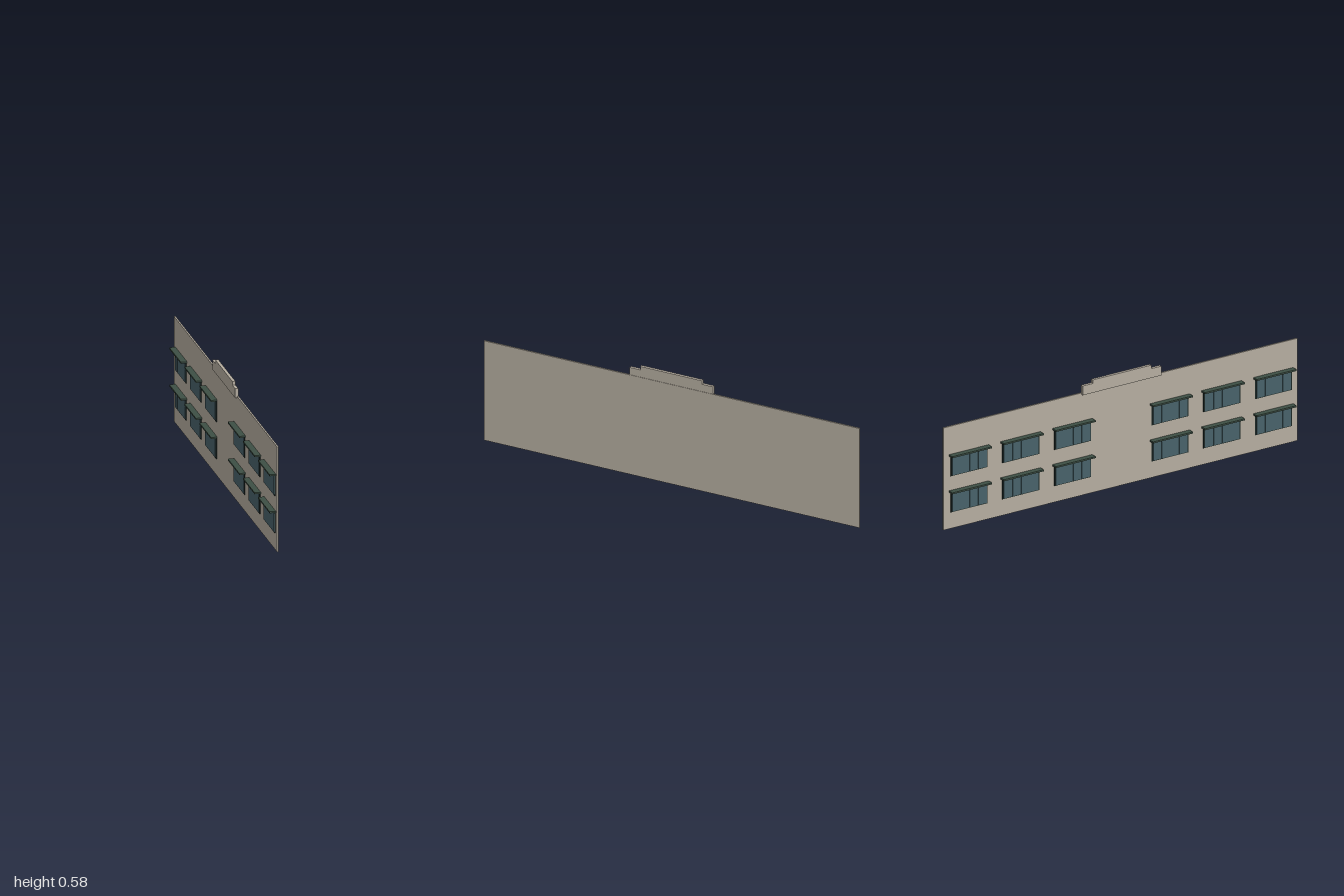
import * as THREE from 'three';

const material = (name, color) => {
  const m = new THREE.MeshStandardMaterial({ color });
  m.name = name;
  return m;
};

export function createModel() {
  const stone = material('warm stone', 0xb5ada0);
  const green = material('awning green', 0x3d4f44);
  const dark = material('dark frame', 0x1b2724);
  const glass = material('blue grey glass', 0x48626a);

  const root = new THREE.Group();
  root.name = 'facade';

  // Box given by its lower and upper limits on each axis
  const box = (parent, name, mat, [x0, x1], [y0, y1], [z0, z1]) => {
    const mesh = new THREE.Mesh(new THREE.BoxGeometry(x1 - x0, y1 - y0, z1 - z0), mat);
    mesh.position.set((x0 + x1) / 2, (y0 + y1) / 2, (z0 + z1) / 2);
    mesh.name = name;
    parent.add(mesh);
  };

  // Wall slab
  box(root, 'wall', stone, [0.01, 0.018], [0, 0.521], [-1, 1]);

  // Stepped parapet, extruded through its thickness
  const outline = [[-0.222, 0.512], [0.222, 0.512], [0.222, 0.559], [0.165, 0.559],
    [0.165, 0.577], [-0.165, 0.577], [-0.165, 0.559], [-0.222, 0.559]];
  const shape = new THREE.Shape(outline.map(([a, b]) => new THREE.Vector2(a, b)));
  const parapet = new THREE.Mesh(
    new THREE.ExtrudeGeometry(shape, { depth: 0.015, bevelEnabled: false }), stone);
  parapet.name = 'parapet';
  parapet.rotation.y = Math.PI / 2;
  parapet.position.set(0.001, 0, 0.003);
  root.add(parapet);

  // Window: dark backing frame, four panes and a flat awning
  const addWindow = (y, z) => {
    const g = new THREE.Group();
    g.name = 'window';
    g.position.set(0, y, z);
    box(g, 'windowFrame', dark, [0.0065, 0.0102], [0, 0.101], [-0.104, 0.104]);
    const pitch = 0.049;
    for (let i = 0; i < 4; i++) {
      const c = (i - 1.5) * pitch;
      box(g, 'pane', glass, [0.003, 0.0065], [0.0045, 0.0965], [c - 0.0235, c + 0.0235]);
    }
    box(g, 'awning', green, [-0.02, 0.01], [0.103, 0.111], [-0.1125, 0.1125]);
    root.add(g);
  };

  // Two rows of three on each side of the centre
  for (const y of [0.083, 0.267])
    for (const side of [-1, 1])
      for (const d of [0.275, 0.568, 0.86]) addWindow(y, 0.003 + side * d);

  return root;
}
